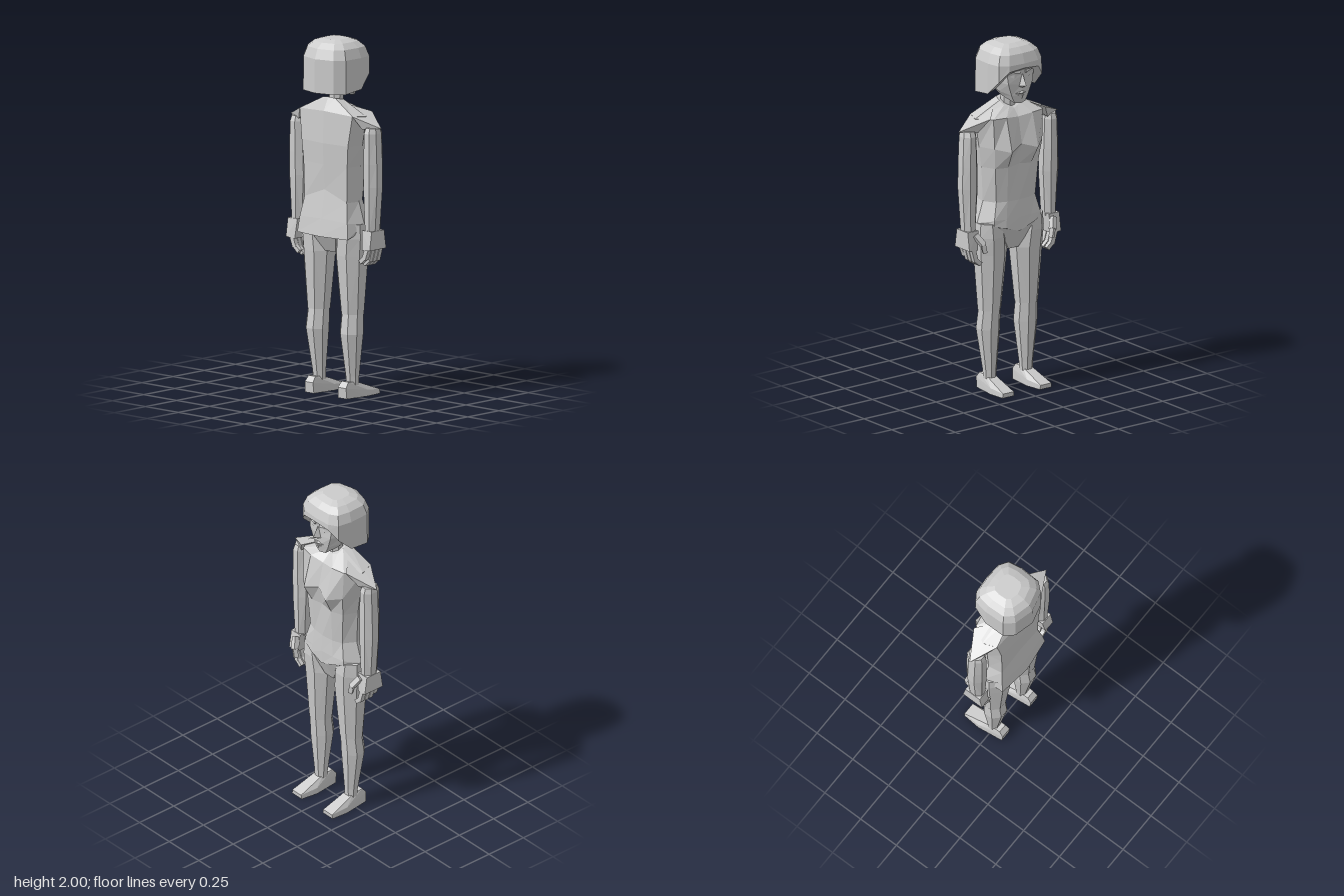
import * as THREE from 'three';
import { ConvexGeometry } from 'three/addons/geometries/ConvexGeometry.js';

const V = (p) => new THREE.Vector3(...p);

// Faceted geometry: every triangle gets its own normal
function facet(geo) {
  const g = geo.index ? geo.toNonIndexed() : geo;
  g.computeVertexNormals();
  return g;
}

// Skin between closed cross-sections listed bottom to top, capped at both ends
function loft(rings) {
  const n = rings[0].length, pos = [];
  const tri = (...pts) => pts.forEach((p) => pos.push(...p));
  const mid = (r) => [0, 1, 2].map((k) => r.reduce((s, p) => s + p[k], 0) / n);
  const top = rings[rings.length - 1], low = rings[0];
  const cLow = mid(low), cTop = mid(top);
  for (let i = 0; i < n; i++) {
    const j = (i + 1) % n;
    for (let k = 0; k + 1 < rings.length; k++) {
      const a = rings[k], b = rings[k + 1];
      tri(a[i], a[j], b[j]);
      tri(a[i], b[j], b[i]);
    }
    tri(low[j], low[i], cLow);
    tri(top[i], top[j], cTop);
  }
  const g = new THREE.BufferGeometry();
  g.setAttribute('position', new THREE.Float32BufferAttribute(pos, 3));
  return facet(g);
}

// Symmetric ring from half a section, running from +z centre to -z centre
const ring = (half) => [
  ...half,
  ...half.slice(1, -1).reverse().map(([x, y, z]) => [-x, y, z]),
];

// Eight-sided limb from rows of [y, centreX, centreZ, radiusX, radiusZ]
function limb(rows) {
  const k = 1 / Math.cos(Math.PI / 8);
  return loft(rows.map(([y, cx, cz, rx, rz]) => Array.from({ length: 8 }, (_, i) => {
    const a = ((i + 0.5) * Math.PI) / 4;
    return [cx + Math.sin(a) * rx * k, y, cz + Math.cos(a) * rz * k];
  })));
}

const hull = (pts) => facet(new ConvexGeometry(pts.map(V)));

// Square bar from a to b
function bar(a, b, w, d) {
  const dir = V(b).sub(V(a));
  const g = new THREE.BoxGeometry(w, dir.length() + w * 0.4, d);
  g.applyQuaternion(new THREE.Quaternion().setFromUnitVectors(V([0, 1, 0]), dir.clone().normalize()));
  g.translate(...V(a).add(V(b)).multiplyScalar(0.5).toArray());
  return facet(g);
}

// Flip across x = 0 and restore the winding
function mirror(geo) {
  const g = geo.clone().scale(-1, 1, 1);
  const p = g.attributes.position;
  const a = new THREE.Vector3(), b = new THREE.Vector3();
  for (let i = 0; i < p.count; i += 3) {
    a.fromBufferAttribute(p, i);
    b.fromBufferAttribute(p, i + 1);
    p.setXYZ(i, b.x, b.y, b.z);
    p.setXYZ(i + 1, a.x, a.y, a.z);
  }
  g.computeVertexNormals();
  return g;
}

export function createModel() {
  const model = new THREE.Group();
  model.name = 'figure';
  const grey = new THREE.MeshStandardMaterial({ color: 0xcccccc });
  grey.name = 'light grey';

  const add = (name, geo) => {
    const m = new THREE.Mesh(geo, grey);
    m.name = name;
    model.add(m);
  };
  const pair = (name, geo) => {
    add('left' + name, geo);
    add('right' + name, mirror(geo));
  };

  // Torso, hips to neck base
  add('torso', loft([
    [[0, 0.9, 0.135], [0.19, 0.9, 0.11], [0.205, 0.94, 0], [0.16, 0.97, -0.085], [0.09, 0.95, -0.103], [0, 0.92, -0.106]],
    [[0, 1.0, 0.12], [0.18, 0.99, 0.1], [0.215, 0.98, 0], [0.16, 1.0, -0.085], [0.085, 1.0, -0.1], [0, 1.0, -0.106]],
    [[0, 1.16, 0.092], [0.16, 1.1, 0.083], [0.175, 1.1, 0], [0.135, 1.1, -0.07], [0.075, 1.1, -0.093], [0, 1.1, -0.1]],
    [[0, 1.3, 0.1], [0.165, 1.3, 0.085], [0.185, 1.3, 0], [0.15, 1.3, -0.08], [0.08, 1.3, -0.105], [0, 1.31, -0.1]],
    [[0, 1.42, 0.106], [0.175, 1.42, 0.09], [0.202, 1.42, 0], [0.165, 1.42, -0.095], [0.09, 1.4, -0.156], [0, 1.43, -0.125]],
    [[0, 1.6, 0.098], [0.2, 1.59, 0.08], [0.228, 1.585, 0], [0.17, 1.59, -0.09], [0.09, 1.59, -0.106], [0, 1.58, -0.095]],
    [[0, 1.675, 0.062], [0.045, 1.67, 0.052], [0.06, 1.66, 0], [0.055, 1.64, -0.035], [0.03, 1.63, -0.05], [0, 1.62, -0.055]],
  ].map(ring)));

  // Crotch wedge between the thighs
  const wedge = [[0.09, 0.905, 0.1], [0.13, 0.96, -0.09], [0.04, 0.805, 0.045], [0.035, 0.81, -0.05], [0.03, 0.93, -0.104]];
  add('crotch', hull(wedge.flatMap(([x, y, z]) => [[x, y, z], [-x, y, z]])));

  // Neck
  add('neck', limb([[1.58, 0, 0, 0.042, 0.038], [1.76, 0, -0.005, 0.04, 0.038]]));

  // Head with a sloping jaw
  add('head', loft([
    [[0, 1.72, 0.05], [0.07, 1.72, 0.02], [0.08, 1.705, -0.05], [0.038, 1.668, -0.108], [0, 1.663, -0.118]],
    [[0, 1.74, 0.06], [0.09, 1.74, 0.03], [0.1, 1.735, -0.05], [0.06, 1.715, -0.11], [0, 1.71, -0.128]],
    [[0, 1.79, 0.08], [0.1, 1.79, 0.04], [0.115, 1.79, -0.05], [0.085, 1.785, -0.115], [0, 1.775, -0.13]],
    [[0, 1.83, 0.08], [0.11, 1.83, 0.04], [0.12, 1.83, -0.05], [0.09, 1.83, -0.112], [0, 1.83, -0.13]],
    [[0, 1.9, 0.08], [0.11, 1.9, 0.04], [0.12, 1.9, -0.05], [0.09, 1.88, -0.128], [0, 1.88, -0.142]],
  ].map(ring)));

  // Facial features
  add('nose', hull([[0, 1.845, -0.128], [0.022, 1.765, -0.12], [-0.022, 1.765, -0.12], [0, 1.775, -0.167], [0, 1.755, -0.13]]));
  add('upperLip', hull([[0.045, 1.722, -0.112], [-0.045, 1.722, -0.112], [0, 1.74, -0.125], [0, 1.73, -0.143], [0, 1.72, -0.13]]));
  add('lowerLip', hull([[0.04, 1.712, -0.11], [-0.04, 1.712, -0.11], [0, 1.715, -0.138], [0, 1.69, -0.124]]));
  pair('Brow', bar([0.02, 1.848, -0.131], [0.085, 1.862, -0.118], 0.014, 0.016));
  pair('Eye', hull([[0.025, 1.822, -0.122], [0.08, 1.828, -0.112], [0.05, 1.838, -0.126], [0.05, 1.815, -0.126], [0.05, 1.826, -0.112]]));

  // Bobbed hair: full at the back, rising to a fringe over the face
  const outline = [[0, 0.172], [0.115, 0.142], [0.16, 0.09], [0.165, -0.03], [0.15, -0.112], [0.1, -0.145], [0, -0.152]];
  const hem = [1.71, 1.71, 1.71, 1.725, 1.805, 1.865, 1.875];
  const hairRows = [[1.9, 0.99], [1.955, 0.87], [1.985, 0.66], [2.0, 0.4]];
  add('hair', loft([
    ring(outline.map(([x, z], i) => [x, hem[i], z])),
    ...hairRows.map(([y, s]) => ring(outline.map(([x, z]) => [x * s, y, z * s]))),
  ]));

  // Pointed shoulder caps
  pair('Shoulder', hull([
    [0.345, 1.53, 0], [0.2, 1.59, 0.08], [0.19, 1.598, -0.09], [0.07, 1.65, 0.03],
    [0.24, 1.52, 0.045], [0.24, 1.52, -0.045],
  ]));

  // Arms
  pair('Arm', limb([
    [0.94, 0.278, 0, 0.036, 0.045], [1.2, 0.28, 0, 0.053, 0.053],
    [1.33, 0.281, 0, 0.05, 0.055], [1.5, 0.281, 0, 0.043, 0.053], [1.53, 0.281, 0, 0.036, 0.042],
  ]));

  // Hands with four curled fingers and a thumb
  const palm = [];
  for (const s of [-1, 1]) {
    palm.push([0.245, 0.955, s * 0.05], [0.318, 0.955, s * 0.05],
      [0.255, 0.845, s * 0.062], [0.318, 0.85, s * 0.066]);
  }
  pair('Palm', hull(palm));
  for (let i = 0; i < 4; i++) {
    const z = -0.048 + i * 0.031;
    const drop = i === 3 ? 0.015 : 0;
    pair('Finger' + (i + 1), bar([0.285, 0.855, z], [0.265, 0.785 + drop, z], 0.027, 0.026));
    pair('Fingertip' + (i + 1), bar([0.262, 0.785 + drop, z], [0.236, 0.762 + drop, z], 0.024, 0.024));
  }
  pair('ThumbBase', bar([0.268, 0.93, -0.06], [0.243, 0.885, -0.088], 0.032, 0.03));
  pair('ThumbTip', bar([0.241, 0.885, -0.09], [0.232, 0.84, -0.092], 0.025, 0.025));

  // Legs, split at the knee
  pair('Thigh', limb([
    [0.47, 0.128, 0.002, 0.062, 0.062], [0.8, 0.123, 0.002, 0.09, 0.086],
    [0.9, 0.132, 0, 0.088, 0.09], [0.98, 0.14, 0, 0.075, 0.082],
  ]));
  pair('Calf', limb([
    [0.07, 0.126, 0, 0.036, 0.032], [0.12, 0.126, 0.002, 0.038, 0.036],
    [0.36, 0.13, 0.012, 0.064, 0.063], [0.47, 0.128, 0.002, 0.059, 0.059],
  ]));

  // Shoes
  pair('Shoe', hull([
    [0.092, 0, 0.08], [0.158, 0, 0.08], [0.075, 0, -0.07], [0.178, 0, -0.07],
    [0.09, 0, -0.172], [0.17, 0, -0.172], [0.093, 0.025, -0.174], [0.167, 0.025, -0.174],
    [0.078, 0.035, -0.07], [0.176, 0.035, -0.07], [0.095, 0.06, 0.085], [0.156, 0.06, 0.085],
    [0.1, 0.092, 0.06], [0.152, 0.092, 0.06], [0.1, 0.085, -0.01], [0.154, 0.085, -0.01],
  ]));

  return model;
}
